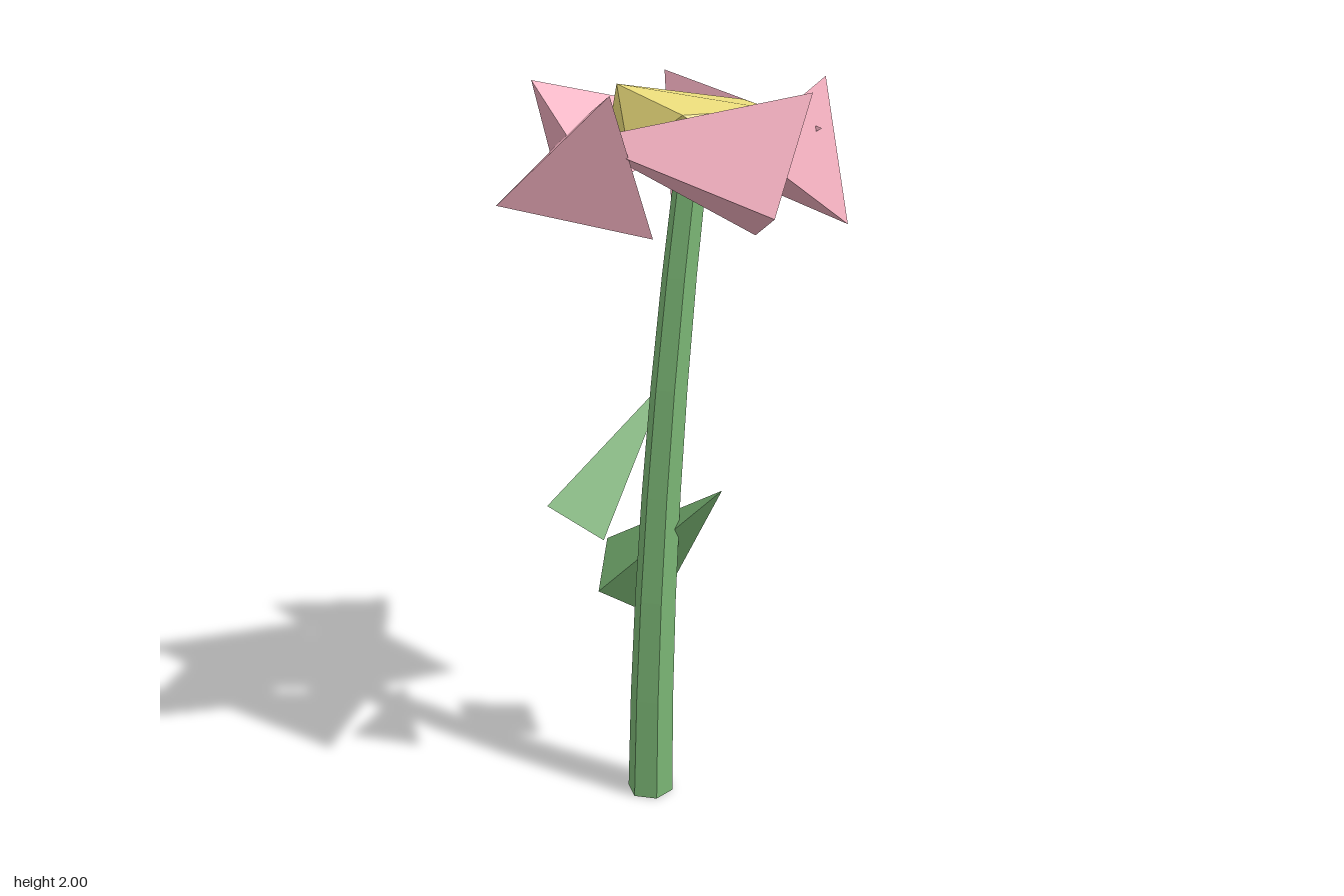
import * as THREE from 'three';
import { ConvexGeometry } from 'three/addons/geometries/ConvexGeometry.js';

const V = (x, y, z) => new THREE.Vector3(x, y, z);
const mat = (color) => new THREE.MeshStandardMaterial({ color, flatShading: true, side: THREE.DoubleSide });

export function createModel() {
  const model = new THREE.Group();
  const green = mat(0x7ab574), pink = mat(0xf2afbf), yellow = mat(0xe8da7a);

  const add = (name, geometry, material, parent = model) => {
    const mesh = new THREE.Mesh(geometry, material);
    mesh.name = name;
    parent.add(mesh);
    return mesh;
  };

  // Six-sided stem that tapers and leans towards +x
  const height = 1.8;
  const stem = new THREE.CylinderGeometry(0.044, 0.066, height, 6, 6, false, Math.PI / 2);
  const pos = stem.attributes.position;
  for (let i = 0; i < pos.count; i++) {
    const y = pos.getY(i) + height / 2, t = y / height;
    pos.setXYZ(i, pos.getX(i) - 0.145 + 0.038 * t + 0.144 * t * t, y, pos.getZ(i) - 0.05);
  }
  stem.computeVertexNormals();
  add('stem', stem, green);

  // Lower leaf: square pyramid pointing up and forward
  add('lowerLeaf', new ConvexGeometry([
    V(-0.04, 0.94, 0.13), V(0.09, 0.59, -0.225), V(-0.04, 0.49, -0.13),
    V(-0.17, 0.58, -0.225), V(-0.04, 0.68, -0.32),
  ]), green);

  // Upper leaf: thin triangle behind the stem
  const leaf = new THREE.BufferGeometry().setFromPoints([
    V(0.035, 1.19, -0.14), V(-0.35, 0.89, -0.23), V(-0.265, 0.8, -0.1),
  ]);
  leaf.computeVertexNormals();
  add('upperLeaf', leaf, green);

  // Flower head: everything here is relative to its own axis
  const head = new THREE.Group();
  head.name = 'flowerHead';
  head.position.set(0.025, 0, -0.05);
  model.add(head);

  // Five three-sided pyramids in a ring, two of them mirrored
  const corners = [[0.255, 2, -0.33], [0.525, 1.74, -0.26], [0.13, 1.63, -0.187], [0.255, 1.88, 0.24]];
  for (let i = 0; i < 5; i++) {
    const mirrored = i === 1 || i === 4;
    const points = corners.map(([x, y, z]) => V(mirrored ? 0.51 - x : x, y, z));
    add('petal' + (i + 1), new ConvexGeometry(points), pink, head).rotation.y = -i * Math.PI * 2 / 5;
  }

  // Faceted centre: two staggered five-point rings, one top corner raised
  const ring = [V(0, 1.75, 0)];
  for (let i = 0; i < 5; i++) {
    const a = (i * 72 - 3) * Math.PI / 180, b = a + Math.PI / 5;
    const raised = i === 3;
    const r = raised ? 0.19 : 0.23;
    ring.push(V(r * Math.cos(a), raised ? 2 : 1.94, r * Math.sin(a)));
    ring.push(V(0.235 * Math.cos(b), 1.84, 0.235 * Math.sin(b)));
  }
  add('flowerCentre', new ConvexGeometry(ring), yellow, head);

  return model;
}
